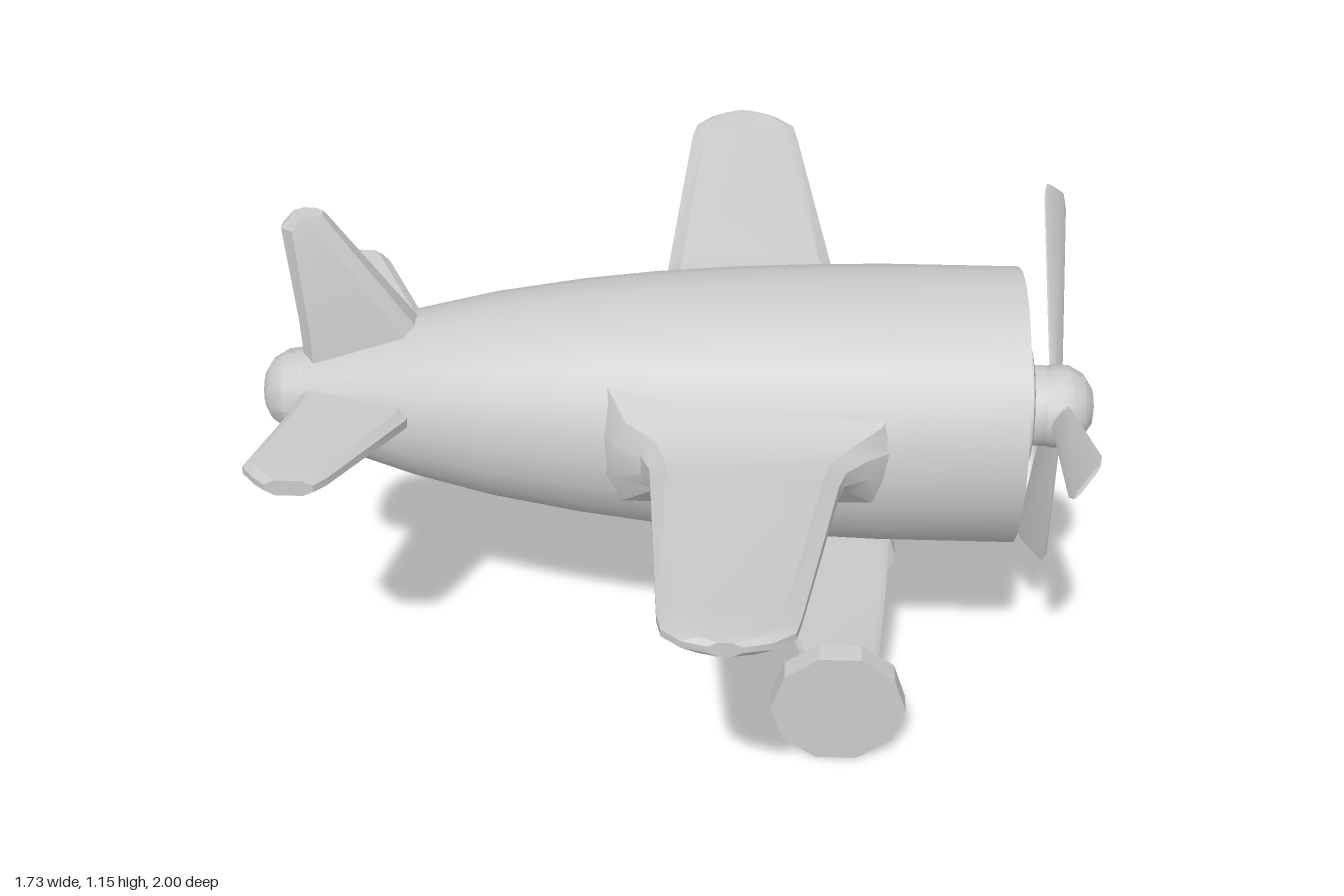
import * as THREE from 'three';
import { toCreasedNormals } from 'three/addons/utils/BufferGeometryUtils.js';

const AXIS_Y = 0.728; // height of the fuselage axis
const material = new THREE.MeshStandardMaterial({ color: 0xcccccc });

function addMesh(parent, name, geometry) {
  const mesh = new THREE.Mesh(geometry, material);
  mesh.name = name;
  parent.add(mesh);
  return mesh;
}

// Turned part along x; profile is [x, radius] from tail to nose
function turned(profile, sides, crease) {
  const points = profile.map(([x, r]) => new THREE.Vector2(r, x));
  const geometry = new THREE.LatheGeometry(points, sides);
  geometry.rotateZ(-Math.PI / 2).translate(0, AXIS_Y, 0);
  geometry.deleteAttribute('normal');
  geometry.deleteAttribute('uv');
  return toCreasedNormals(geometry, crease);
}

// Bevelled plate lofted along z; sections are [z, backX, frontX, bottomY, topY]
function plate(sections, bevel, edge = 0.4) {
  const n = 8, positions = [], index = [];
  for (const [z, xb, xf, bottom, top] of sections) {
    const m = (bottom + top) / 2, h = (top - bottom) * 0.5 * edge;
    const b = Math.min(bevel, (xf - xb) * 0.3);
    const ring = [[xb, m - h], [xb + b, bottom], [xf - b, bottom], [xf, m - h],
      [xf, m + h], [xf - b, top], [xb + b, top], [xb, m + h]];
    for (const [x, y] of ring) positions.push(x, y, z);
  }
  const last = (sections.length - 1) * n;
  for (let i = 0; i < last; i += n) {
    for (let j = 0; j < n; j++) {
      const a = i + j, b = i + (j + 1) % n;
      index.push(a, b, b + n, a, b + n, a + n);
    }
  }
  for (let j = 1; j < n - 1; j++) {
    index.push(0, j + 1, j, last, last + j, last + j + 1);
  }
  const geometry = new THREE.BufferGeometry();
  geometry.setAttribute('position', new THREE.Float32BufferAttribute(positions, 3));
  geometry.setIndex(index);
  return toCreasedNormals(geometry, 0.5);
}

// Sections for the chosen side, always ordered by rising z
const onSide = (sections, side) => (side > 0 ? sections
  : sections.map(([z, ...rest]) => [-z, ...rest]).reverse());

export function createModel() {
  const model = new THREE.Group();
  model.name = 'propellerPlane';

  // Fuselage with an open cowl and the stepped engine inside it
  addMesh(model, 'fuselage', turned([
    [-0.77, 0], [-0.77, 0.105], [-0.54, 0.176], [-0.38, 0.214], [-0.2, 0.244], [-0.05, 0.262],
    [0.1, 0.274], [0.25, 0.282], [0.42, 0.287], [0.70, 0.287],
    [0.70, 0.262], [0.60, 0.235], [0.60, 0.17],
  ], 24, 0.6));
  addMesh(model, 'engine', turned([
    [0.60, 0.19], [0.66, 0.17], [0.68, 0.135], [0.725, 0.135], [0.73, 0.115],
    [0.73, 0.085], [0.76, 0.085],
  ], 16, 0.5));
  addMesh(model, 'spinner', turned([
    [0.75, 0], [0.75, 0.08], [0.78, 0.087], [0.81, 0.085], [0.84, 0.068], [0.858, 0.04], [0.865, 0],
  ], 12, 0.6));
  addMesh(model, 'tailCone', turned([
    [-0.862, 0], [-0.86, 0.04], [-0.845, 0.066], [-0.815, 0.085], [-0.76, 0.094],
  ], 12, 0.6));

  // Wings with flared roots, and tailplanes
  const wing = [
    [0.20, -0.16, 0.48, 0.60, 0.88], [0.27, -0.12, 0.44, 0.66, 0.845],
    [0.31, -0.06, 0.385, 0.715, 0.828], [0.36, -0.04, 0.34, 0.745, 0.822],
    [0.42, -0.035, 0.325, 0.76, 0.828], [0.90, 0.0, 0.25, 0.85, 0.89],
    [0.95, 0.01, 0.24, 0.86, 0.897], [0.985, 0.045, 0.20, 0.866, 0.902],
    [1.0, 0.09, 0.15, 0.872, 0.902],
  ];
  const tailplane = [
    [0.05, -0.765, -0.54, 0.735, 0.785], [0.18, -0.785, -0.54, 0.745, 0.792],
    [0.38, -0.83, -0.64, 0.768, 0.808], [0.42, -0.80, -0.66, 0.772, 0.812],
    [0.445, -0.775, -0.68, 0.777, 0.812],
  ];
  for (const [side, label] of [[1, 'left'], [-1, 'right']]) {
    addMesh(model, label + 'Wing', plate(onSide(wing, side), 0.03));
    addMesh(model, label + 'Tailplane', plate(onSide(tailplane, side), 0.02));
  }

  // Upright fin: lofted along z, then stood up
  const fin = plate([
    [0.80, -0.77, -0.48, -0.055, 0.055], [0.91, -0.773, -0.54, -0.05, 0.05],
    [1.12, -0.79, -0.685, -0.028, 0.028], [1.15, -0.765, -0.705, -0.02, 0.02],
  ], 0.025);
  addMesh(model, 'fin', fin.rotateX(-Math.PI / 2));

  // Three pitched propeller blades
  const propeller = new THREE.Group();
  propeller.name = 'propeller';
  propeller.position.set(0.787, AXIS_Y, 0);
  model.add(propeller);
  for (let k = 0; k < 3; k++) {
    const blade = plate([
      [0.04, -0.025, 0.025, -0.008, 0.008], [0.20, -0.035, 0.035, -0.007, 0.007],
      [0.44, -0.05, 0.05, -0.005, 0.005], [0.47, -0.04, 0.04, -0.004, 0.004],
    ], 0.015, 0.3);
    blade.rotateX(-Math.PI / 2).rotateY(THREE.MathUtils.degToRad(57));
    blade.rotateX(THREE.MathUtils.degToRad(74 + 120 * k));
    addMesh(propeller, 'blade' + (k + 1), blade);
  }

  // Landing gear: splayed legs, ten-sided wheels and the axle
  const legSections = [
    // height, back x, front x, distance from centre
    [0.125, 0.32, 0.41, 0.238], [0.24, 0.265, 0.44, 0.208],
    [0.37, 0.20, 0.448, 0.158], [0.48, 0.03, 0.45, 0.117], [0.53, -0.02, 0.45, 0.098],
  ];
  for (const [side, label] of [[1, 'left'], [-1, 'right']]) {
    const leg = plate(legSections.map(([h, xb, xf, z]) =>
      [h, xb, xf, -side * z - 0.018, -side * z + 0.018]), 0.015, 0.6);
    addMesh(model, label + 'Leg', leg.rotateX(-Math.PI / 2));

    const wheel = new THREE.CylinderGeometry(0.144, 0.144, 0.05, 10);
    wheel.rotateY(Math.PI / 2).rotateX(Math.PI / 2);
    wheel.translate(0.354, 0.137, side * 0.271);
    addMesh(model, label + 'Wheel', toCreasedNormals(wheel, 0.3));
  }
  const axle = new THREE.BoxGeometry(0.035, 0.025, 0.5);
  addMesh(model, 'axle', axle.translate(0.36, 0.142, 0));

  return model;
}
